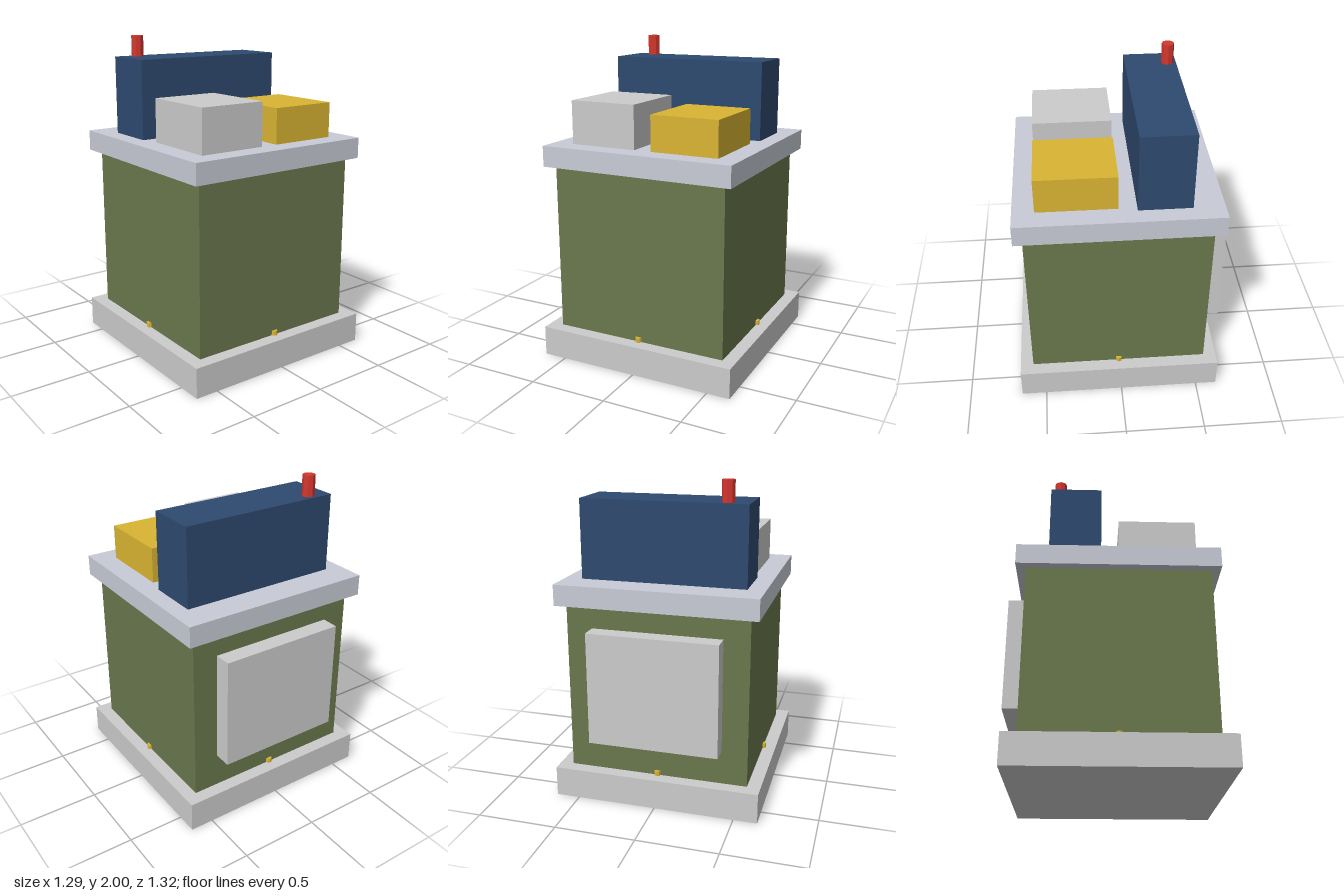
import * as THREE from 'three';

const material = (color) => new THREE.MeshStandardMaterial({ color, flatShading: true });
const grey = material(0xcccccc);
const green = material(0x6a784d);
const paleGrey = material(0xc8ccd6);
const blue = material(0x2e4a70);
const gold = material(0xdab533);
const red = material(0xd4372e);

export function createModel() {
  const model = new THREE.Group();
  model.name = 'machineCabinet';

  const add = (name, geometry, mat, x, y, z) => {
    const mesh = new THREE.Mesh(geometry, mat);
    mesh.name = name;
    mesh.position.set(x, y, z);
    model.add(mesh);
  };

  // Box given by its centre in x and z, and its bottom in y
  const box = (name, mat, [w, h, d], x, bottom, z) =>
    add(name, new THREE.BoxGeometry(w, h, d), mat, x, bottom + h / 2, z);

  // Upright eight-sided post
  const post = (name, mat, r, h, x, bottom, z) =>
    add(name, new THREE.CylinderGeometry(r, r, h, 8), mat, x, bottom + h / 2, z);

  const cz = 0.012; // centre of the cabinet, pushed forward by the rear panel

  // Cabinet
  box('base', grey, [1.295, 0.19, 1.295], 0, 0, cz);
  box('body', green, [1.13, 1.06, 1.13], 0, 0.19, cz);
  box('lid', paleGrey, [1.242, 0.13, 1.242], 0, 1.25, cz - 0.003);
  box('rearPanel', grey, [0.81, 0.705, 0.13], 0, 0.405, -0.597);

  // Units on the lid
  box('rearHousing', blue, [1.025, 0.49, 0.324], 0, 1.38, -0.26);
  box('rightUnit', grey, [0.432, 0.27, 0.486], -0.271, 1.38, 0.255);
  box('leftUnit', gold, [0.432, 0.22, 0.486], 0.271, 1.38, 0.255);
  post('exhaustPipe', red, 0.039, 0.15, -0.38, 1.85, -0.367);

  // Small pin at the middle of each side, half sunk into the body
  for (let i = 0; i < 4; i++) {
    const a = (i * Math.PI) / 2;
    post('basePin', gold, 0.02, 0.04, Math.sin(a) * 0.565, 0.18, cz + Math.cos(a) * 0.565);
  }

  return model;
}
